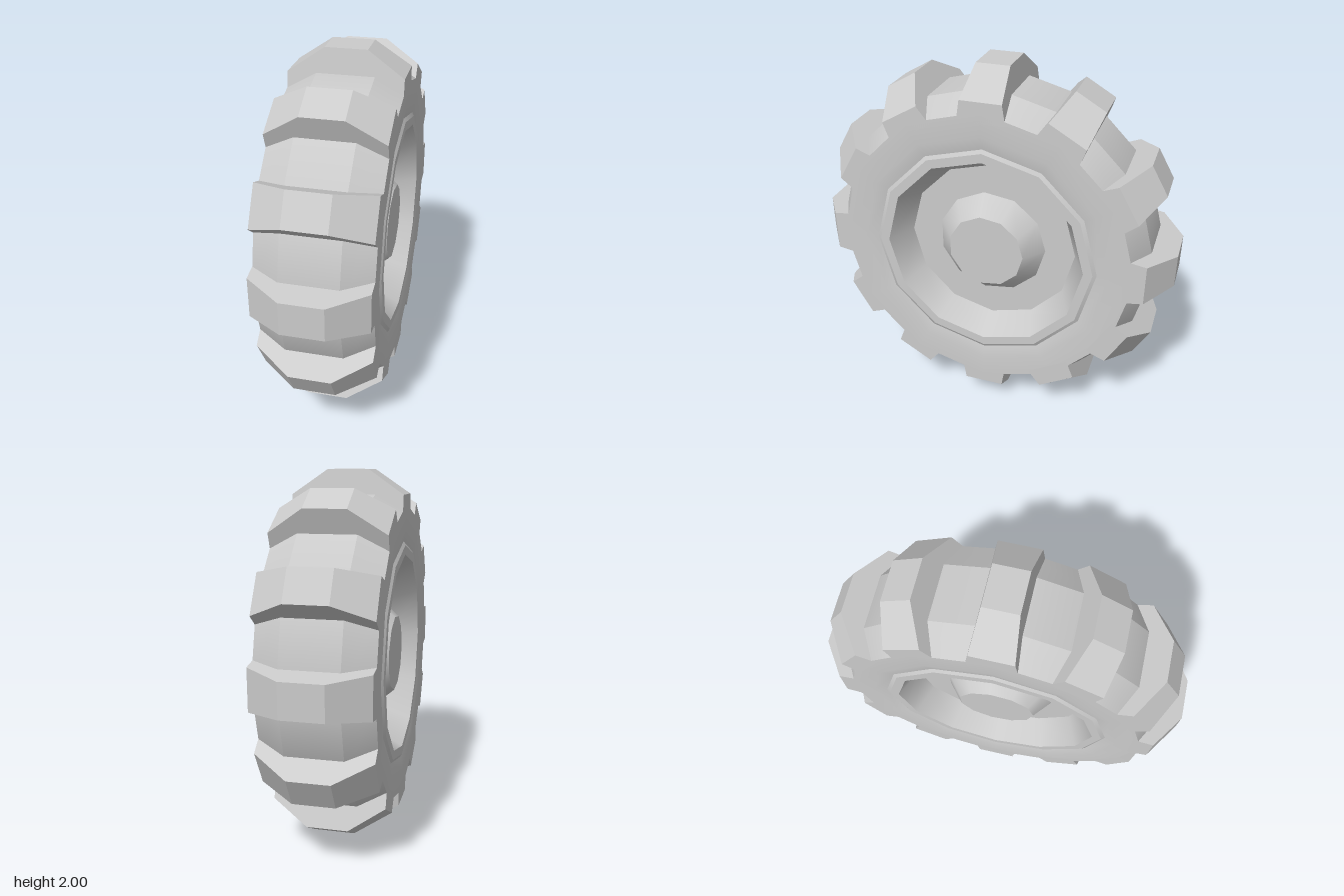
import * as THREE from 'three';
import { mergeGeometries } from 'three/addons/utils/BufferGeometryUtils.js';

const smooth = new THREE.MeshStandardMaterial({ color: 0xcccccc });
const faceted = new THREE.MeshStandardMaterial({ color: 0xcccccc, flatShading: true });

// Revolves [radius, x] strips around the x axis: smooth around, sharp between strips
function revolve(name, strips, sides, start = 0) {
  const parts = strips.map((strip) =>
    new THREE.LatheGeometry(strip.map(([r, x]) => new THREE.Vector2(r, x)), sides, start));
  const geometry = mergeGeometries(parts).rotateZ(-Math.PI / 2);
  const mesh = new THREE.Mesh(geometry, smooth);
  mesh.name = name;
  return mesh;
}

// Tread block: tapers outward, with sloping shoulders
function lugGeometry() {
  const geometry = new THREE.BoxGeometry(0.6, 1, 2, 3, 1, 1);
  const p = geometry.attributes.position;
  for (let i = 0; i < p.count; i++) {
    const shoulder = Math.abs(p.getX(i)) > 0.2;
    const x = Math.sign(p.getX(i)) * (shoulder ? 0.3 : 0.11);
    const r = p.getY(i) < 0 ? 0.76 : shoulder ? 0.87 : 1;
    const halfWidth = 0.09 + 0.155 * (1 - r);
    p.setXYZ(i, x, r, Math.sign(p.getZ(i)) * halfWidth);
  }
  geometry.computeVertexNormals();
  return geometry;
}

// Outer half of the wheel, facing +x
function wheelSide(name) {
  const side = new THREE.Group();
  side.name = name;
  side.add(
    revolve('tyreSidewall', [
      [[0.9, 0.15], [0.82, 0.3]],
      [[0.82, 0.3], [0.69, 0.3], [0.62, 0.285]],
    ], 12),
    revolve('rim', [
      [[0.62, 0.285], [0.6, 0.296]],
      [[0.6, 0.296], [0.55, 0.296]],
      [[0.55, 0.296], [0.47, 0.14]],
      [[0.47, 0.14], [0, 0.14]],
    ], 12),
    revolve('hub', [
      [[0.305, 0.14], [0.21, 0.25]],
      [[0.21, 0.25], [0, 0.25]],
    ], 11, Math.PI),
  );
  return side;
}

export function createModel() {
  const wheel = new THREE.Group();
  wheel.name = 'wheel';
  wheel.position.y = 1;

  wheel.add(revolve('tyreTread', [[[0.9, -0.15], [0.9, 0.15]]], 12));

  const leftSide = wheelSide('leftSide');
  const rightSide = wheelSide('rightSide');
  rightSide.rotation.y = Math.PI;
  wheel.add(leftSide, rightSide);

  // Ring of tread blocks
  const lug = lugGeometry();
  for (let i = 0; i < 12; i++) {
    const mesh = new THREE.Mesh(lug, faceted);
    mesh.name = 'treadLug';
    mesh.rotation.x = (i * Math.PI) / 6;
    wheel.add(mesh);
  }

  const model = new THREE.Group();
  model.name = 'tractorWheel';
  model.add(wheel);
  return model;
}
